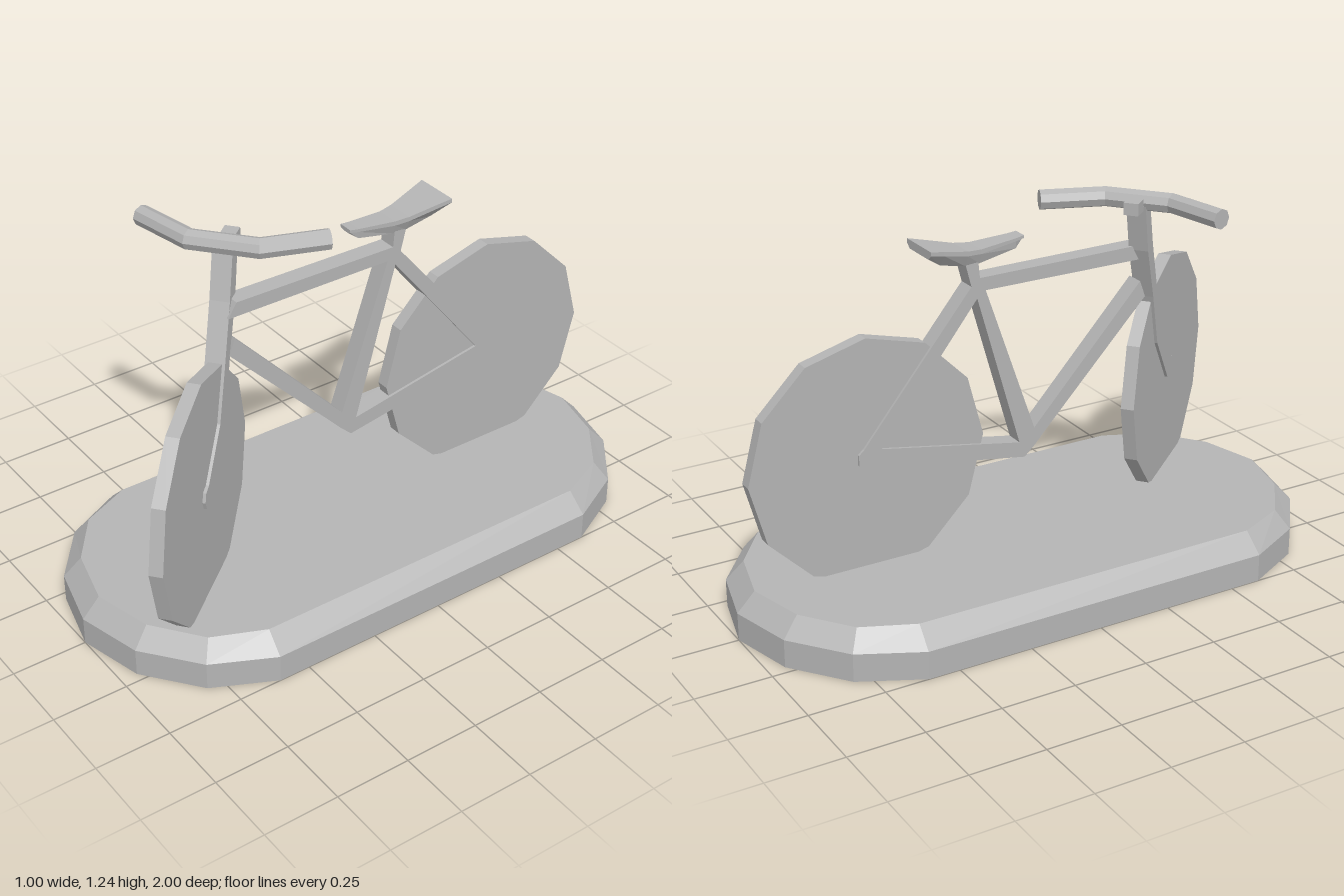
import * as THREE from 'three';

const grey = new THREE.MeshStandardMaterial({ color: 0xb4b4b4 });
grey.name = 'plain grey';

function part(name, geometry) {
  const flat = geometry.index ? geometry.toNonIndexed() : geometry;
  flat.computeVertexNormals();
  const mesh = new THREE.Mesh(flat, grey);
  mesh.name = name;
  return mesh;
}

// Skin a list of equal-length rings, each turning right-handed about the path, and cap both ends
function loft(rings) {
  const n = rings[0].length, last = (rings.length - 1) * n, index = [];
  for (let i = 0; i < rings.length - 1; i++) {
    for (let j = 0; j < n; j++) {
      const a = i * n + j, b = i * n + (j + 1) % n;
      index.push(a, b, b + n, a, b + n, a + n);
    }
  }
  for (let j = 1; j < n - 1; j++) {
    index.push(0, j + 1, j, last, last + j, last + j + 1);
  }
  const geometry = new THREE.BufferGeometry();
  geometry.setAttribute('position', new THREE.Float32BufferAttribute(rings.flat(2), 3));
  geometry.setIndex(index);
  return geometry;
}

// Extrude a side profile given as [z, y] points, centred across x
function sidePlate(outline, hole, width) {
  const toPoints = list => list.map(([z, y]) => new THREE.Vector2(z, y));
  const shape = new THREE.Shape(toPoints(outline));
  if (hole) shape.holes.push(new THREE.Path(toPoints(hole)));
  const geometry = new THREE.ExtrudeGeometry(shape, { depth: width, bevelEnabled: false });
  return geometry.translate(0, 0, -width / 2).rotateY(-Math.PI / 2);
}

function wheel(name) {
  const mesh = part(name, new THREE.CylinderGeometry(0.402, 0.402, 0.044, 12).rotateZ(Math.PI / 2));
  mesh.position.y = 0.513;
  return mesh;
}

// Full oval from one quarter of it, given as [x, z] from the front tip to the side
function oval(quarter, y) {
  const back = quarter.map(([x, z]) => [x, -z]).reverse();
  const right = [...quarter, ...back];
  const left = right.slice(1, -1).reverse().map(([x, z]) => [-x, z]);
  return [...right, ...left].map(([x, z]) => [x, y, z]);
}

function base() {
  const wide = [[0, 1], [0.22, 0.945], [0.4, 0.805], [0.5, 0.605]];
  const narrow = [[0, 0.94], [0.2, 0.89], [0.36, 0.77], [0.435, 0.6]];
  return part('base', loft([oval(wide, 0), oval(wide, 0.093), oval(narrow, 0.155)]));
}

function frame() {
  const outline = [
    [0.42, 1.043], [-0.16, 1.038], [-0.165, 1.09], [-0.21, 1.09], [-0.19, 1.015],
    [-0.57, 0.555], [-0.588, 0.54], [-0.588, 0.505], [-0.57, 0.487], [-0.545, 0.49],
    [0, 0.4], [0.04, 0.437], [0.08, 0.48], [0.45, 0.865], [0.43, 0.92],
    [0.035, 0.495], [-0.14, 0.995], [0.45, 0.995],
  ];
  const rearOpening = [[-0.02, 0.455], [-0.51, 0.545], [-0.17, 0.973]];
  return part('frame', sidePlate(outline, rearOpening, 0.062));
}

function saddle() {
  // z, top half width, top y, edge y, bottom half width, bottom y
  const sections = [
    [0, 0.025, 1.147, 1.138, 0.012, 1.133],
    [-0.03, 0.028, 1.143, 1.133, 0.025, 1.11],
    [-0.16, 0.04, 1.133, 1.118, 0.028, 1.085],
    [-0.21, 0.048, 1.137, 1.122, 0.03, 1.085],
    [-0.30, 0.066, 1.157, 1.143, 0.035, 1.105],
    [-0.352, 0.077, 1.168, 1.155, 0.06, 1.14],
  ];
  return part('saddle', loft(sections.map(([z, w, top, edge, b, bottom]) => [
    [-w, top, z], [w, top, z], [w, edge, z], [b, bottom, z], [-b, bottom, z], [-w, edge, z],
  ])));
}

function handlebar() {
  const path = [[-0.295, -0.43], [-0.11, -0.325], [0.11, -0.325], [0.295, -0.43]]
    .map(([x, z]) => new THREE.Vector2(x, z));
  const sides = 8, radius = 0.033;
  const rings = path.map((p, i) => {
    const into = p.clone().sub(path[Math.max(i - 1, 0)]).normalize();
    const out = path[Math.min(i + 1, path.length - 1)].clone().sub(p).normalize();
    const dir = into.add(out).normalize();
    const mitre = i > 0 && i < path.length - 1 ? 1 / dir.dot(out) : 1;
    return Array.from({ length: sides }, (_, j) => {
      const a = (j / sides) * Math.PI * 2;
      const across = Math.sin(a) * radius * mitre;
      return [p.x - dir.y * across, 1.202 + Math.cos(a) * radius, p.y + dir.x * across];
    });
  });
  return part('handlebar', loft(rings));
}

// Everything that turns with the front wheel, built around its axle
function steering() {
  const group = new THREE.Group();
  group.name = 'steering';
  const forkOutline = [
    [-0.305, 1.19], [-0.262, 1.04], [-0.195, 0.86], [-0.128, 0.69], [0, 0.555],
    [0.028, 0.545], [0.038, 0.515], [0.028, 0.487], [0, 0.475], [-0.035, 0.49],
    [-0.175, 0.665], [-0.24, 0.85], [-0.315, 1.03], [-0.355, 1.19],
  ];
  const stem = part('stem', new THREE.BoxGeometry(0.048, 0.04, 0.09));
  stem.position.set(0, 1.195, -0.365);
  group.add(wheel('frontWheel'), part('fork', sidePlate(forkOutline, null, 0.064)), stem, handlebar());
  group.position.set(0.155, 0, 0.655);
  group.rotation.y = 0.694;
  return group;
}

export function createModel() {
  const model = new THREE.Group();
  model.name = 'bicycle on a base';
  const bike = new THREE.Group();
  bike.name = 'frameAssembly';
  const rearWheel = wheel('rearWheel');
  rearWheel.position.z = -0.55;
  bike.add(rearWheel, frame(), saddle());
  bike.position.x = -0.004;
  model.add(base(), bike, steering());
  return model;
}
